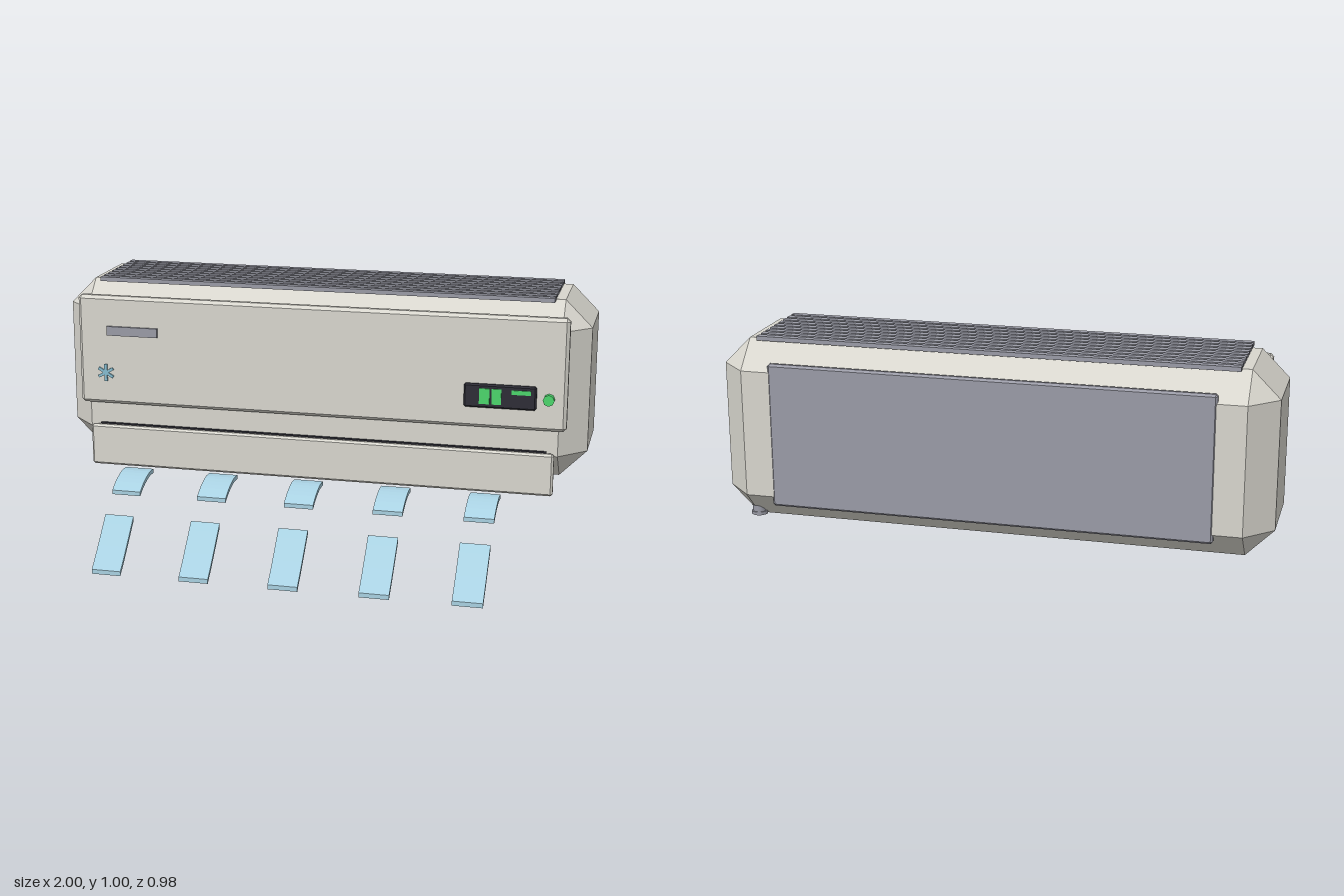
import * as THREE from 'three';
import { ConvexGeometry } from 'three/addons/geometries/ConvexGeometry.js';

const mat = (name, color) => {
  const m = new THREE.MeshStandardMaterial({ color });
  m.name = name;
  return m;
};

// Box with every edge cut by one flat chamfer c
function chamferBox([x0, x1], [y0, y1], [z0, z1], c) {
  const half = [(x1 - x0) / 2, (y1 - y0) / 2, (z1 - z0) / 2];
  const pts = [];
  for (const sx of [-1, 1]) for (const sy of [-1, 1]) for (const sz of [-1, 1])
    for (let face = 0; face < 3; face++) {
      const [a, b, d] = half.map((h, i) => (i === face ? h : h - c));
      pts.push(new THREE.Vector3(sx * a, sy * b, sz * d));
    }
  return new ConvexGeometry(pts).translate((x0 + x1) / 2, (y0 + y1) / 2, (z0 + z1) / 2);
}

function box([x0, x1], [y0, y1], [z0, z1]) {
  return new THREE.BoxGeometry(x1 - x0, y1 - y0, z1 - z0)
    .translate((x0 + x1) / 2, (y0 + y1) / 2, (z0 + z1) / 2);
}

// Strip of air: a band following [z, y] points, extruded along x
function airStrip(points, thickness, width) {
  const line = new THREE.SplineCurve(points.map(([z, y]) => new THREE.Vector2(z, y))).getPoints(8);
  const h = thickness / 2;
  const upper = line.map(p => new THREE.Vector2(p.x, p.y + h));
  const lower = line.map(p => new THREE.Vector2(p.x, p.y - h)).reverse();
  return new THREE.ExtrudeGeometry(new THREE.Shape([...upper, ...lower]), { depth: width, bevelEnabled: false })
    .translate(0, 0, -width / 2)
    .rotateY(-Math.PI / 2)
    .scale(1, 1, 1);
}

export function createModel() {
  const model = new THREE.Group();
  model.name = 'airConditioner';
  const shell = mat('warm white shell', 0xd8d6ce);
  const grey = mat('cool grey', 0x9a9ba6);
  const dark = mat('dark plastic', 0x2e2d36);
  const green = mat('green light', 0x4cd66c);
  const air = mat('pale blue air', 0xa9d1e2);
  const ice = mat('snowflake blue', 0x86bcd0);

  const add = (name, geometry, material, parent = model) => {
    const mesh = new THREE.Mesh(geometry, material);
    mesh.name = name;
    parent.add(mesh);
    return mesh;
  };
  const group = name => {
    const g = new THREE.Group();
    g.name = name;
    model.add(g);
    return g;
  };

  // Main casing, front cover, flap and mounting plate
  add('casing', chamferBox([-1, 1], [0.32, 0.985], [-0.485, 0.005], 0.1), shell);
  add('frontCover', chamferBox([-0.93, 0.93], [0.52, 0.94], [-0.01, 0.032], 0.012), shell);
  add('outletFlap', chamferBox([-0.89, 0.89], [0.276, 0.436], [0.016, 0.041], 0.008), shell);
  add('outletSlot', box([-0.86, 0.86], [0.31, 0.438], [-0.175, 0.014]), dark);
  add('mountingPlate', chamferBox([-0.8, 0.8], [0.386, 0.917], [-0.488, -0.462], 0.008), grey);

  // Intake slats on the top
  const grille = group('intakeGrille');
  for (let i = 0; i < 9; i++) {
    const z = -0.06 - i * 0.0423;
    add('intakeSlat', box([-0.865, 0.865], [0.981, 0.997], [z - 0.0135, z + 0.0135]), grey, grille);
  }

  // Drain stub under the rear corner
  const drain = group('drainStub');
  drain.position.set(0.89, 0, -0.397);
  add('drainPipe', new THREE.CylinderGeometry(0.025, 0.025, 0.09, 12).translate(0, 0.37, 0), grey, drain);
  add('drainCollar', new THREE.CylinderGeometry(0.03, 0.03, 0.012, 12).translate(0, 0.326, 0), grey, drain);

  // Name plate bar and six-armed snowflake
  add('badgeBar', box([-0.815, -0.615], [0.79, 0.825], [0.03, 0.041]), grey);
  const flake = group('snowflake');
  flake.position.set(-0.825, 0.643, 0.034);
  for (let i = 0; i < 3; i++) {
    const arm = add('snowflakeArm', new THREE.BoxGeometry(0.066, 0.011, 0.008), ice, flake);
    arm.rotation.z = Math.PI / 2 + i * Math.PI / 3;
  }

  // Display with digits and indicator lamp
  const display = group('display');
  add('displayPanel', chamferBox([0.555, 0.82], [0.598, 0.687], [0.026, 0.044], 0.006), dark, display);
  add('digitLeft', box([0.612, 0.65], [0.614, 0.672], [0.04, 0.048]), green, display);
  add('digitRight', box([0.658, 0.693], [0.614, 0.672], [0.04, 0.048]), green, display);
  add('modeBar', box([0.73, 0.8], [0.655, 0.671], [0.04, 0.048]), green, display);
  const lamp = new THREE.CylinderGeometry(0.021, 0.021, 0.026, 8).rotateX(Math.PI / 2);
  add('indicatorLamp', lamp, green, display).position.set(0.865, 0.642, 0.042);

  // Cold air flowing out in two rows of strips
  const near = airStrip([[0.09, 0.28], [0.13, 0.282], [0.17, 0.274], [0.21, 0.26], [0.25, 0.238]], 0.016, 0.11);
  const far = airStrip([[0.33, 0.169], [0.41, 0.086], [0.45, 0.046], [0.49, 0.009]], 0.017, 0.11);
  const flow = group('airFlow');
  for (let i = 0; i < 5; i++) {
    const x = -0.68 + i * 0.333;
    add('airStripNear', near, air, flow).position.x = x;
    add('airStripFar', far, air, flow).position.x = x;
  }
  return model;
}
